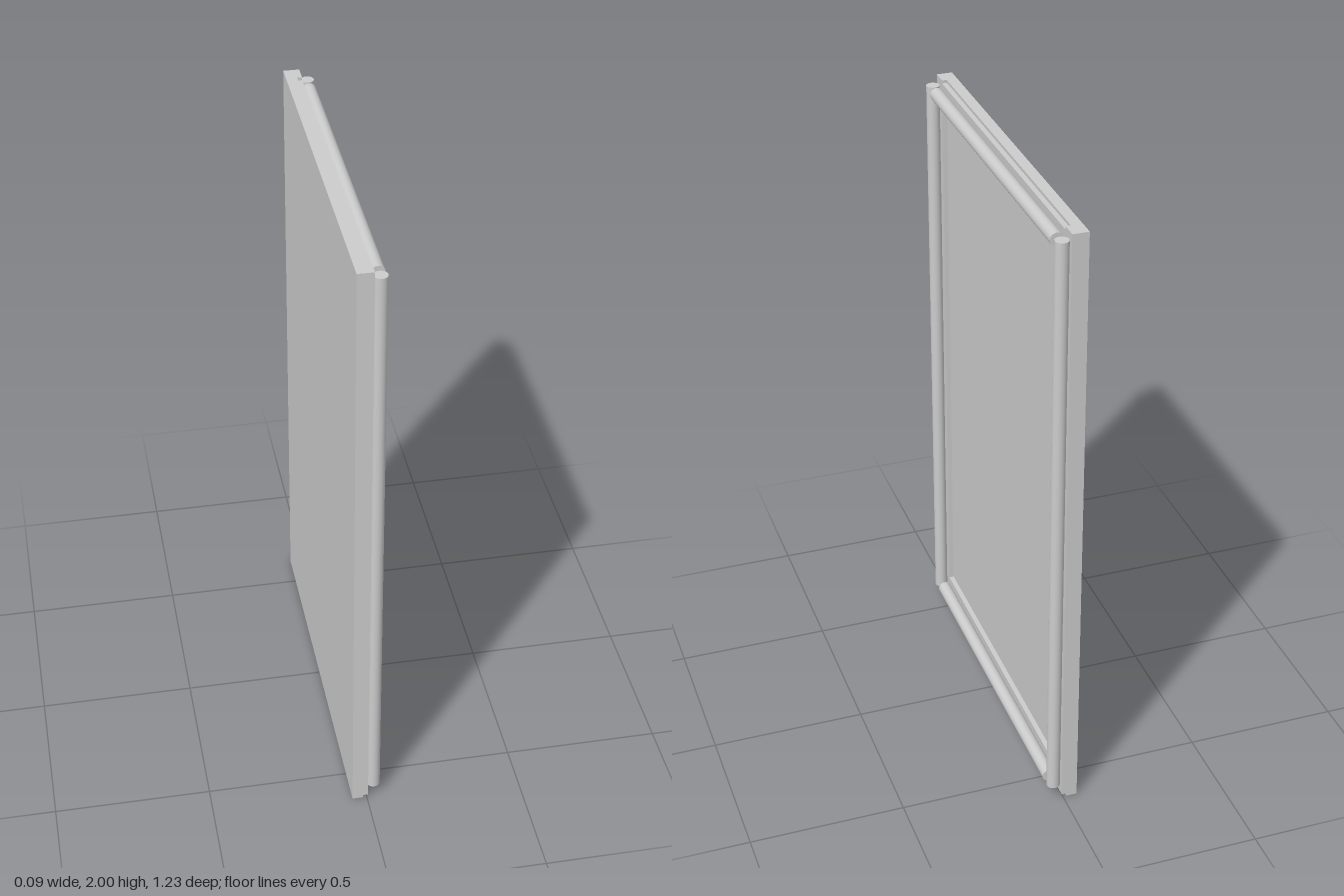
import * as THREE from 'three';

export function createModel() {
  const model = new THREE.Group();
  const material = new THREE.MeshStandardMaterial({ color: 0xcccccc });

  const add = (name, geometry, x, y, z) => {
    const mesh = new THREE.Mesh(geometry, material);
    mesh.name = name;
    mesh.position.set(x, y, z);
    model.add(mesh);
    return mesh;
  };
  // Box given by its lower and upper limits on each axis
  const box = (name, [x0, x1], [y0, y1], [z0, z1]) =>
    add(name, new THREE.BoxGeometry(x1 - x0, y1 - y0, z1 - z0),
      (x0 + x1) / 2, (y0 + y1) / 2, (z0 + z1) / 2);

  const rodX = 0.025, rodRadius = 0.0215;
  const rod = (length) => new THREE.CylinderGeometry(rodRadius, rodRadius, length, 32);

  // Flat backing panel
  box('backPanel', [-0.047, -0.012], [0, 2], [-0.615, 0.615]);

  // Upright frame strips, each carrying a round rod
  for (const side of [-1, 1]) {
    const strip = [side * 0.56, side * 0.615].sort((a, b) => a - b);
    box('sideStrip', [-0.012, 0.004], [0.01, 2], strip);
    add('sideRod', rod(1.935), rodX, 1.0075, side * 0.591);
  }

  // Top and bottom frame strips with their rods
  for (const [label, y0, y1, rodY] of [['top', 1.925, 1.99, 1.959], ['bottom', 0.01, 0.08, 0.046]]) {
    box(label + 'Strip', [-0.012, 0.004], [y0, y1], [-0.56, 0.56]);
    add(label + 'Rod', rod(1.106), rodX, rodY, 0).rotation.x = Math.PI / 2;
  }

  return model;
}
